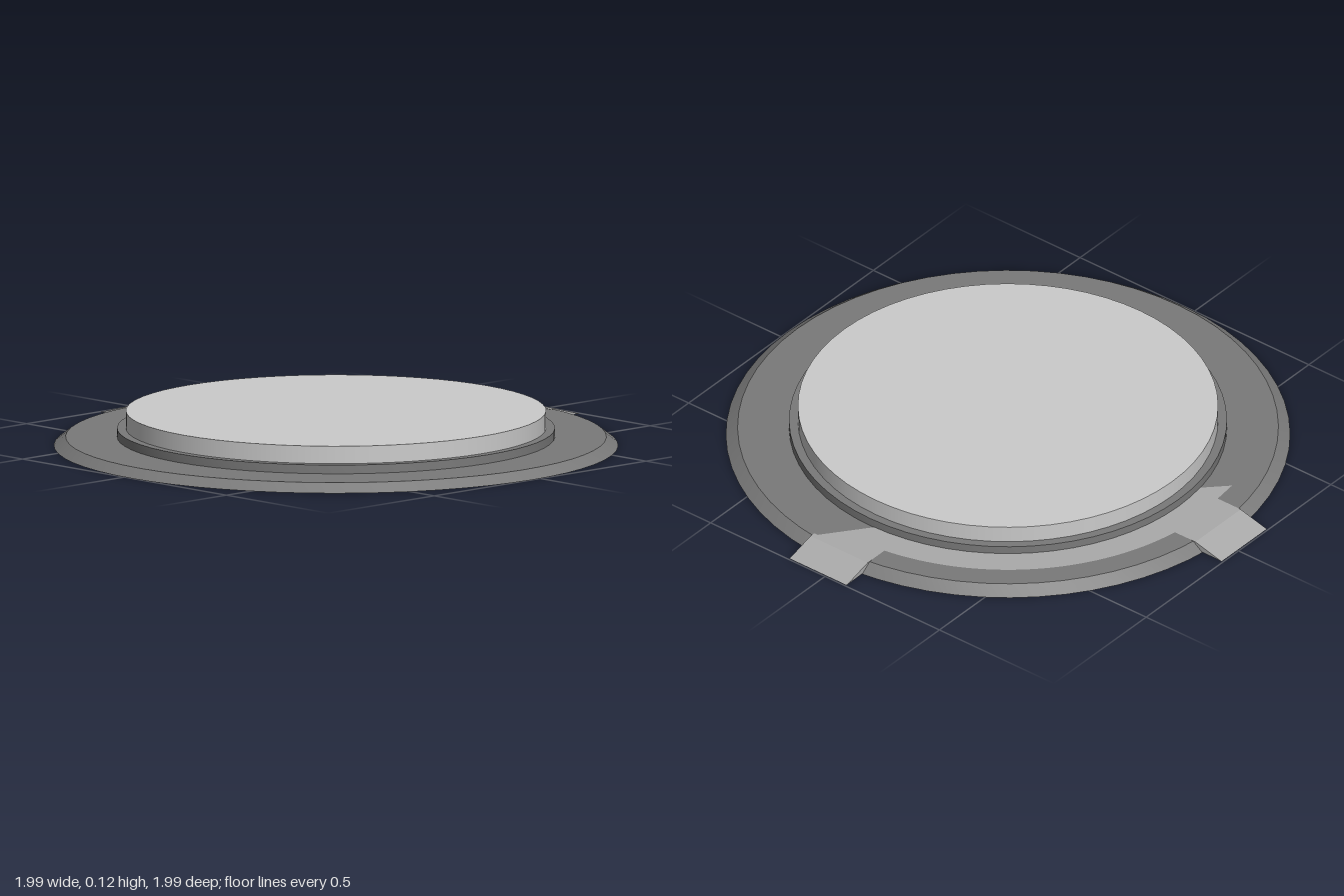
import * as THREE from 'three';
import { toCreasedNormals } from 'three/addons/utils/BufferGeometryUtils.js';

const SEGMENTS = 64;

function addMesh(parent, name, geometry, color) {
  const material = new THREE.MeshStandardMaterial({ color, side: THREE.DoubleSide });
  const mesh = new THREE.Mesh(geometry, material);
  mesh.name = name;
  parent.add(mesh);
  return mesh;
}

function lathe(points) {
  const profile = points.map(([r, y]) => new THREE.Vector2(r, y));
  return toCreasedNormals(new THREE.LatheGeometry(profile, SEGMENTS), 0.4);
}

// Sloping lip that runs outward along +x, from the plate down to the ground
function lipGeometry(zMin, zMax) {
  const side = new THREE.Shape();
  side.moveTo(0.9, 0.003);
  side.lineTo(1.035, 0);
  side.lineTo(0.92, 0.031);
  side.lineTo(0.9, 0.031);
  side.closePath();
  const geometry = new THREE.ExtrudeGeometry(side, { depth: zMax - zMin, bevelEnabled: false });
  return geometry.translate(0, 0, zMin);
}

export function createModel() {
  const model = new THREE.Group();
  model.name = 'roundPlate';

  // The tabs stick out at +x and -z, so the round body sits off centre
  const body = new THREE.Group();
  body.name = 'body';
  body.position.set(-0.04, 0, 0.04);
  model.add(body);

  // Raised central disc
  const disc = addMesh(body, 'disc', new THREE.CylinderGeometry(0.715, 0.715, 0.12, SEGMENTS), 0xcccccc);
  disc.position.y = 0.06;

  // Bevelled rim with a step around the disc
  addMesh(body, 'rim', lathe([
    [0.96, 0], [0.92, 0.03], [0.745, 0.03], [0.745, 0.06], [0.715, 0.06],
  ]), 0x7a7a7a);
  addMesh(body, 'rimUnderside', lathe([[0.715, 0], [0.96, 0]]), 0x0a0a0a);

  // Thin curved plate joining the two tabs
  const plate = new THREE.Shape();
  plate.moveTo(0.74, 0.02);
  plate.lineTo(0.92, -0.12);
  plate.lineTo(0.92, 0.13);
  plate.lineTo(0.83, 0.13);
  plate.absarc(0, 0, 0.84, 0.155, Math.PI / 2 - 0.15, false);
  plate.lineTo(0.125, 0.92);
  plate.lineTo(-0.12, 0.92);
  plate.lineTo(-0.12, 0.82);
  plate.lineTo(-0.21, 0.81);
  plate.absarc(0, 0, 0.742, Math.PI / 2 + 0.175, 0.027, true);
  const plateGeometry = new THREE.ShapeGeometry(plate, 24).rotateX(-Math.PI / 2);
  addMesh(body, 'curvedPlate', plateGeometry, 0xaaaaaa).position.y = 0.0315;

  // Left tab and back tab
  addMesh(body, 'leftTab', lipGeometry(-0.13, 0.12), 0xaaaaaa);
  addMesh(body, 'backTab', lipGeometry(-0.12, 0.125).rotateY(Math.PI / 2), 0xaaaaaa);

  return model;
}
